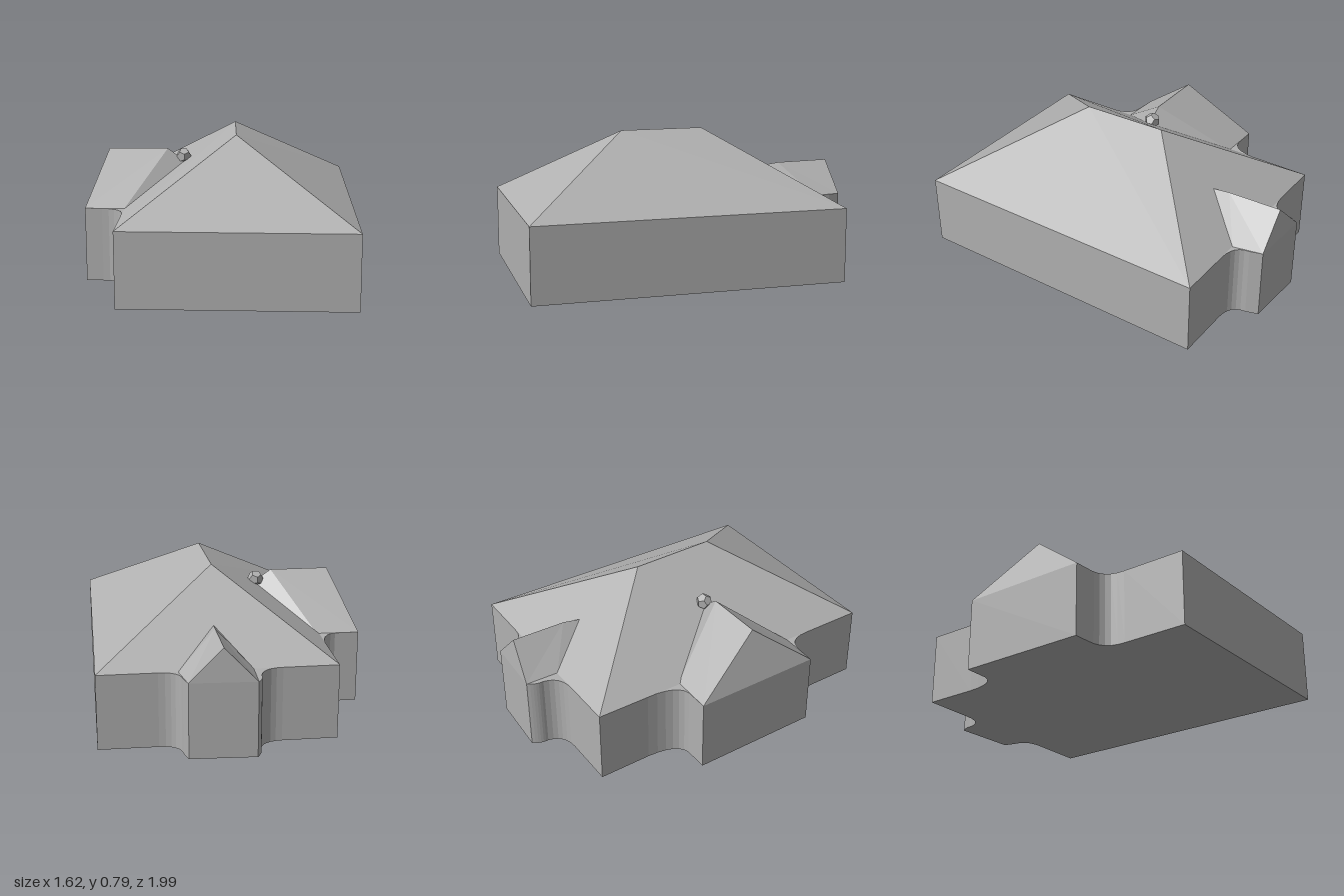
import * as THREE from 'three';

const BASE = 0.015, EAVE = 0.42;

// Flat-faced surface from polygons; every face is turned to look upward.
function roofSurface(name, faces, material) {
  const pos = [];
  const a = new THREE.Vector3(), b = new THREE.Vector3();
  for (const f of faces) {
    for (let i = 1; i < f.length - 1; i++) {
      const [p, q, r] = [f[0], f[i], f[i + 1]];
      a.subVectors(q, p);
      b.subVectors(r, p);
      const up = a.cross(b).y > 0;
      for (const v of up ? [p, q, r] : [p, r, q]) pos.push(v.x, v.y, v.z);
    }
  }
  const g = new THREE.BufferGeometry();
  g.setAttribute('position', new THREE.Float32BufferAttribute(pos, 3));
  g.computeVertexNormals();
  const mesh = new THREE.Mesh(g, material);
  mesh.name = name;
  return mesh;
}

const at = (x, z, y = EAVE) => new THREE.Vector3(x, y, z);

// Wing roof: steep end, two slopes, and a short drop into the main roof.
function wingRoof(name, [p, q, pFoot, qFoot], [end, crest, tail], material) {
  return roofSurface(name, [
    [p, q, end],
    [p, pFoot, crest, end],
    [q, qFoot, crest, end],
    [pFoot, tail, crest],
    [qFoot, tail, crest],
  ], material);
}

export function createModel() {
  const house = new THREE.Group();
  house.name = 'house';
  const grey = new THREE.MeshStandardMaterial({ color: 0xb0b0b0 });
  grey.name = 'plain grey';

  // Walls: slightly skewed plan with two wings and rounded inner corners
  const s = new THREE.Shape();
  const line = (x, z) => s.lineTo(x, -z);
  const curve = (cx, cz, x, z) => s.quadraticCurveTo(cx, -cz, x, -z);
  s.moveTo(-0.67, -0.79);
  line(0.55, 0.99);
  line(0.81, -0.70);
  line(0.50, -0.75);
  curve(0.39, -0.77, 0.40, -0.86);
  line(0.39, -0.93);
  line(0.05, -1.0);
  curve(0.01, -0.96, 0.01, -0.92);
  curve(-0.02, -0.83, -0.13, -0.845);
  line(-0.42, -0.89);
  line(-0.46, -0.60);
  curve(-0.49, -0.42, -0.58, -0.42);
  line(-0.71, -0.44);
  line(-0.81, 0.27);
  line(-0.72, 0.29);
  curve(-0.60, 0.31, -0.62, 0.44);
  const wallGeo = new THREE.ExtrudeGeometry(s, {
    depth: EAVE - BASE, bevelEnabled: false, curveSegments: 6,
  });
  wallGeo.rotateX(-Math.PI / 2).translate(0, BASE, 0);
  const walls = new THREE.Mesh(wallGeo, grey);
  walls.name = 'walls';
  house.add(walls);

  // Main hipped roof
  const A = at(-0.42, -0.89), B = at(0.81, -0.70), C = at(0.55, 0.99), D = at(-0.67, 0.79);
  const back = at(0.07, -0.20, 0.805), front = at(0.015, 0.27, 0.805);
  house.add(roofSurface('mainRoof', [
    [A, B, back], [B, C, front, back], [C, D, front], [D, A, back, front],
  ], grey));

  // Wing on the model's right side
  house.add(wingRoof('sideWingRoof',
    [at(-0.71, -0.44), at(-0.81, 0.27), at(-0.48, -0.40), at(-0.60, 0.31)],
    [at(-0.665, -0.05, 0.69), at(-0.34, 0.0, 0.69), at(-0.23, 0.02, 0.61)], grey));

  // Smaller wing at the back
  house.add(wingRoof('backWingRoof',
    [at(0.05, -1.0), at(0.39, -0.93), at(0.02, -0.82), at(0.40, -0.765)],
    [at(0.215, -0.95, 0.595), at(0.175, -0.65, 0.59), at(0.155, -0.55, 0.575)], grey));

  // Worn chimney stub where the side wing meets the main roof
  const stub = new THREE.Mesh(new THREE.DodecahedronGeometry(0.045), grey);
  stub.name = 'chimneyStub';
  stub.position.set(-0.25, 0.645, 0.0);
  house.add(stub);

  return house;
}
